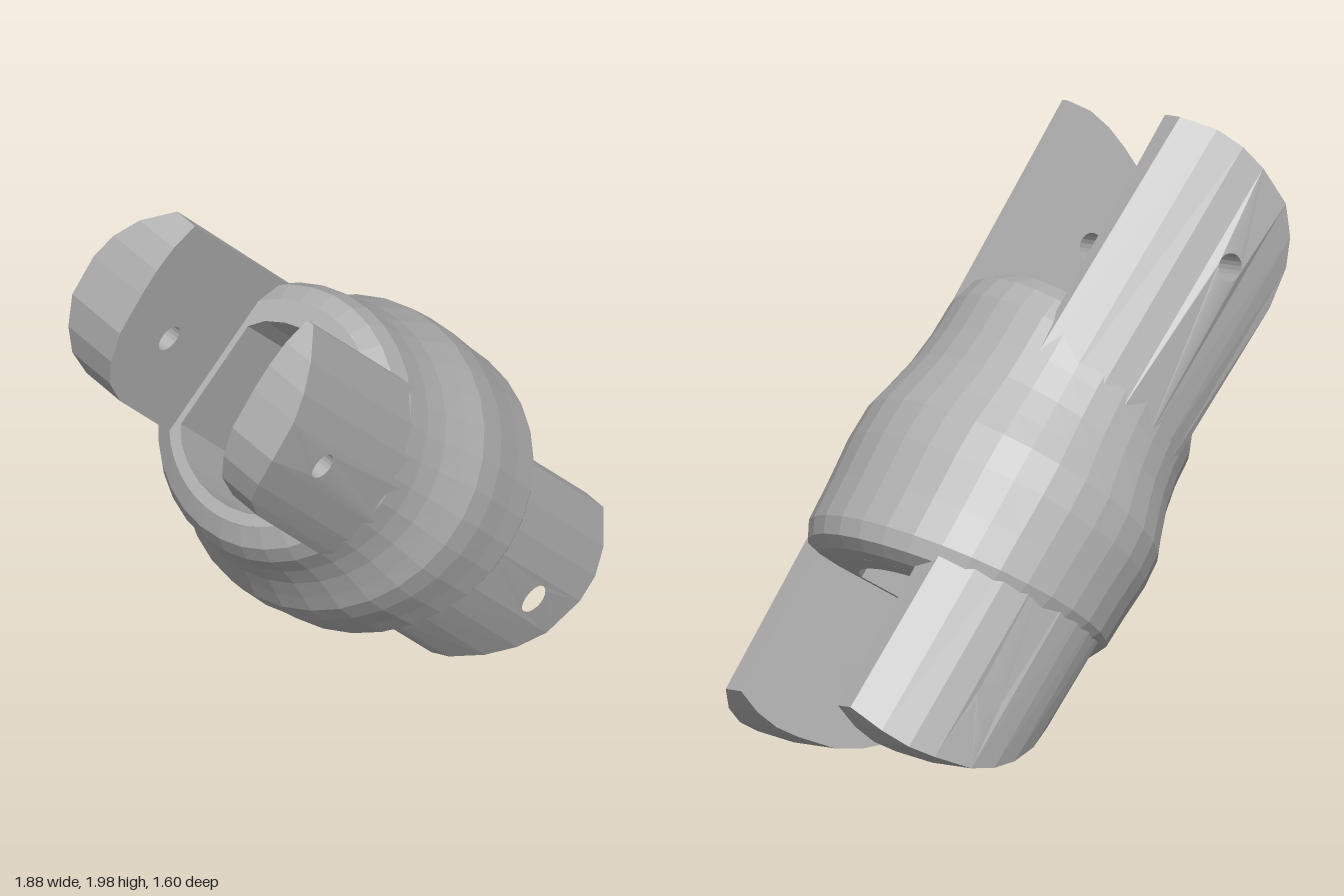
import * as THREE from 'three';

// Local frame: y runs along the shaft, z along the pin holes, x across the prongs.
const AXIS = new THREE.Vector3(-0.62, 0.707, 0.34).normalize();
const SLOT = 0.26; // half-width of the gap between two prongs

// Prong outlines: position across, and reach along the shaft
const UPPER_TIP = [
  [0.345, 1.13], [0.25, 1.15], [0.16, 1.145], [0.07, 1.125], [-0.07, 1.08],
  [-0.16, 1.01], [-0.22, 0.93], [-0.25, 0.8],
];
const LOWER_TIP = [
  [0.345, 1.06], [0.25, 1.08], [0.16, 1.08], [0.07, 1.06], [-0.07, 1.015],
  [-0.16, 0.96], [-0.24, 0.89], [-0.31, 0.8], [-0.33, 0.72],
];

function faceted(geometry) {
  const g = geometry.index ? geometry.toNonIndexed() : geometry;
  g.computeVertexNormals();
  return g;
}

// Both rims of the body lean, so it is longer on the +x side
function lean(geometry) {
  const p = geometry.attributes.position;
  for (let k = 0; k < p.count; k++) p.setY(k, p.getY(k) * (1 + 0.3 * p.getX(k)));
  return faceted(geometry);
}

// One prong: strips with a flat inner face and an outer face that flares from the body
function makeProng(name, { end, side, tip, base, baseRadius, radius, holeRadius }, material) {
  const prong = new THREE.Group();
  prong.name = name;
  for (let i = 0; i < tip.length - 1; i++) {
    const [x0, a0] = tip[i];
    const [x1, a1] = tip[i + 1];
    const shape = new THREE.Shape([
      new THREE.Vector2(x0, end * base),
      new THREE.Vector2(x0, end * a0),
      new THREE.Vector2(x1, end * a1),
      new THREE.Vector2(x1, end * base),
    ]);
    // Pin hole through the middle strip
    if (x0 > 0 && x1 < 0) {
      const hole = new THREE.Path();
      hole.absarc(0, end * 0.8, holeRadius, 0, Math.PI * 2, true);
      shape.holes.push(hole);
    }
    const g = new THREE.ExtrudeGeometry(shape, { depth: 1, bevelEnabled: false, curveSegments: 10 });
    const p = g.attributes.position;
    for (let k = 0; k < p.count; k++) {
      const outer = (p.getZ(k) > 0.5) === (side > 0);
      const t = Math.min(1, (Math.abs(p.getY(k)) - base) / (0.75 - base));
      const r = THREE.MathUtils.lerp(baseRadius, radius, t);
      p.setZ(k, side * (outer ? Math.sqrt(r ** 2 - p.getX(k) ** 2) : SLOT));
    }
    const strip = new THREE.Mesh(faceted(g), material);
    strip.name = name + 'Strip';
    prong.add(strip);
  }
  return prong;
}

export function createModel() {
  const model = new THREE.Group();
  model.name = 'jointCoupling';
  const grey = new THREE.MeshStandardMaterial({ color: 0xb0b0b0 });
  grey.name = 'grey';

  // Outer body with a raised band in the middle
  const profile = [
    [0.36, -0.5], [0.43, -0.495], [0.48, -0.47], [0.505, -0.42], [0.51, -0.3],
    [0.52, -0.16], [0.515, -0.05], [0.49, 0.03], [0.465, 0.12], [0.45, 0.22],
    [0.445, 0.33], [0.42, 0.4], [0.36, 0.45],
  ].map(([r, y]) => new THREE.Vector2(r, y));
  const body = new THREE.Mesh(lean(new THREE.LatheGeometry(profile, 32)), grey);
  body.name = 'body';
  model.add(body);

  // End faces and the flat-sided bore
  const core = new THREE.Shape().absarc(0, 0, 0.36, 0, Math.PI * 2);
  const bore = [];
  for (let i = 0; i < 28; i++) {
    const t = (i / 28) * Math.PI * 2;
    bore.push(new THREE.Vector2(
      0.3 * Math.cos(t) - 0.02,
      THREE.MathUtils.clamp(0.32 * Math.sin(t), -0.24, 0.24),
    ));
  }
  core.holes.push(new THREE.Path(bore));
  const coreGeometry = new THREE.ExtrudeGeometry(core, { depth: 0.95, bevelEnabled: false, curveSegments: 32 });
  coreGeometry.rotateX(-Math.PI / 2).translate(0, -0.5, 0);
  const boreMesh = new THREE.Mesh(lean(coreGeometry), grey);
  boreMesh.name = 'bore';
  model.add(boreMesh);

  // A pair of prongs at each end
  const upper = { end: 1, tip: UPPER_TIP, base: 0.2, baseRadius: 0.445, holeRadius: 0.045 };
  const lower = { end: -1, tip: LOWER_TIP, base: 0.3, baseRadius: 0.495, holeRadius: 0.05 };
  model.add(
    makeProng('upperFrontProng', { ...upper, side: 1, radius: 0.45 }, grey),
    makeProng('upperBackProng', { ...upper, side: -1, radius: 0.485 }, grey),
    makeProng('lowerFrontProng', { ...lower, side: 1, radius: 0.485 }, grey),
    makeProng('lowerBackProng', { ...lower, side: -1, radius: 0.475 }, grey),
  );

  // Lean the coupling into its pose
  const z = new THREE.Vector3(0.294, -0.207, 0.933);
  z.addScaledVector(AXIS, -z.dot(AXIS)).normalize();
  const x = new THREE.Vector3().crossVectors(AXIS, z);
  model.quaternion.setFromRotationMatrix(new THREE.Matrix4().makeBasis(x, AXIS, z));
  model.position.set(-0.07, 0.91, 0);

  const root = new THREE.Group();
  root.name = 'coupling';
  root.add(model);
  // Rest the lowest point on the ground and centre the whole
  root.updateMatrixWorld(true);
  const box = new THREE.Box3().setFromObject(root, true);
  const c = box.getCenter(new THREE.Vector3());
  model.position.sub(new THREE.Vector3(c.x, box.min.y, c.z));
  return root;
}
